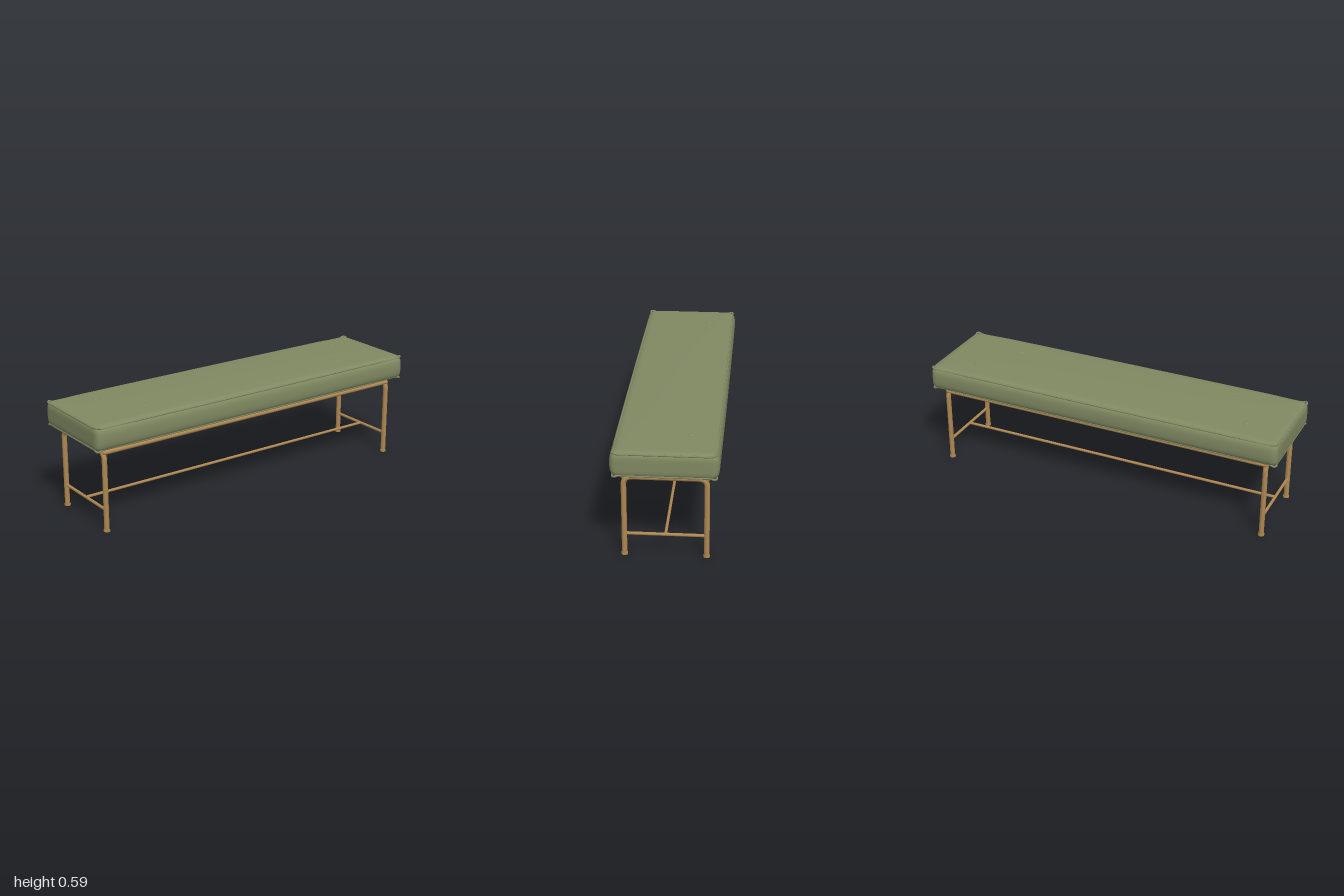
import * as THREE from 'three';
import { mergeVertices } from 'three/addons/utils/BufferGeometryUtils.js';

const CY = 0.511;                        // cushion mid height
const HX = 0.995, HY = 0.066, HZ = 0.252; // cushion half sizes before bulging
const LEG_X = 0.925, LEG_Z = 0.2, RAIL_Y = 0.421, LOW_Y = 0.115;

// Upholstered box: rounded edges, crowned top and bottom, softly bulging sides
function cushionGeometry() {
  const g = new THREE.BoxGeometry(2, 2, 2, 56, 14, 32);
  g.deleteAttribute('uv');
  g.deleteAttribute('normal');
  const half = new THREE.Vector3(HX, HY, HZ), r = 0.033;
  const inner = half.clone().subScalar(r), outer = half.clone().negate();
  const p = new THREE.Vector3(), c = new THREE.Vector3();
  const pos = g.attributes.position;
  for (let i = 0; i < pos.count; i++) {
    p.fromBufferAttribute(pos, i);
    // crowd the rows towards the edges so the rounding is smooth
    p.set(...p.toArray().map((v) => Math.sin(v * Math.PI / 2))).multiply(half);
    p.clamp(outer, half);
    c.copy(p).clamp(inner.clone().negate(), inner);
    p.sub(c).setLength(r).add(c);
    const x = p.x / HX, y = p.y / HY, z = p.z / HZ;
    p.y += 0.0105 * y * (1 - x * x) * (1 - z * z) + 0.001 * y;
    p.z += 0.009 * z * (1 - y * y) + 0.002 * z * (1 - x * x);
    pos.setXYZ(i, p.x, p.y, p.z);
  }
  const merged = mergeVertices(g, 1e-5);
  merged.computeVertexNormals();
  return merged;
}

// Closed welt following the rounded edge, lifted slightly at the corners
function pipingGeometry(sign) {
  const hx = HX - 0.008, hz = HZ - 0.007, r = 0.022, pts = [];
  const corners = [[1, 1, 0], [-1, 1, 1], [-1, -1, 2], [1, -1, 3]];
  corners.forEach(([sx, sz, k], n) => {
    for (let i = 0; i <= 6; i++) {
      const a = (k + i / 6) * Math.PI / 2;
      const lift = 0.006 * Math.sin(i / 6 * Math.PI);
      pts.push(new THREE.Vector3(
        sx * (hx - r) + (r + lift) * Math.cos(a), sign * (HY - 0.01 + lift),
        sz * (hz - r) + (r + lift) * Math.sin(a)));
    }
    const next = corners[(n + 1) % 4];
    for (let i = 1; i < 10; i++) {
      const t = i / 10, along = 2 * t - 1;
      const longSide = sz === next[1];
      const dir = longSide ? next[0] : next[1];
      pts.push(longSide
        ? new THREE.Vector3(dir * along * (hx - r), sign * (HY - 0.01), sz * (hz + 0.003 * (1 - along * along)))
        : new THREE.Vector3(sx * hx, sign * (HY - 0.01), dir * along * (hz - r)));
    }
  });
  return new THREE.TubeGeometry(new THREE.CatmullRomCurve3(pts, true, 'centripetal'), 400, 0.0055, 8, true);
}

// Bent tube: leg, top bar, leg
function hoopGeometry() {
  const v = (y, z) => new THREE.Vector3(0, y, z), b = 0.042;
  const path = new THREE.CurvePath();
  path.add(new THREE.LineCurve3(v(0.002, LEG_Z), v(RAIL_Y - b, LEG_Z)));
  path.add(new THREE.QuadraticBezierCurve3(v(RAIL_Y - b, LEG_Z), v(RAIL_Y, LEG_Z), v(RAIL_Y, LEG_Z - b)));
  path.add(new THREE.LineCurve3(v(RAIL_Y, LEG_Z - b), v(RAIL_Y, b - LEG_Z)));
  path.add(new THREE.QuadraticBezierCurve3(v(RAIL_Y, b - LEG_Z), v(RAIL_Y, -LEG_Z), v(RAIL_Y - b, -LEG_Z)));
  path.add(new THREE.LineCurve3(v(RAIL_Y - b, -LEG_Z), v(0.002, -LEG_Z)));
  return new THREE.TubeGeometry(path, 160, 0.0135, 16, false);
}

export function createModel() {
  const model = new THREE.Group();
  model.name = 'bench';
  const fabric = new THREE.MeshStandardMaterial({ color: 0x808962 });
  fabric.name = 'olive fabric';
  const brass = new THREE.MeshStandardMaterial({ color: 0xae8751 });
  brass.name = 'brass';

  const add = (parent, name, geometry, material, x = 0, y = 0, z = 0) => {
    const mesh = new THREE.Mesh(geometry, material);
    mesh.name = name;
    mesh.position.set(x, y, z);
    parent.add(mesh);
    return mesh;
  };

  // Seat
  const seat = new THREE.Group();
  seat.name = 'seat';
  model.add(seat);
  add(seat, 'cushion', cushionGeometry(), fabric, 0, CY, 0);
  add(seat, 'topPiping', pipingGeometry(1), fabric, 0, CY, 0);
  add(seat, 'bottomPiping', pipingGeometry(-1), fabric, 0, CY, 0);

  // Two staggered rows of buttons
  const buttonGeo = new THREE.SphereGeometry(0.016, 20, 12).scale(1, 0.34, 1);
  const rows = [[-0.115, [-0.78, -0.47, -0.157, 0.157, 0.47, 0.78]], [0.11, [-0.625, -0.312, 0, 0.312, 0.625]]];
  for (const [z, xs] of rows) {
    for (const x of xs) add(seat, 'button', buttonGeo, fabric, x, 0.581, z);
  }

  // Frame
  const frame = new THREE.Group();
  frame.name = 'frame';
  model.add(frame);
  const hoop = hoopGeometry();
  const footGeo = new THREE.CylinderGeometry(0.0165, 0.0165, 0.008, 20);
  const railGeo = new THREE.CylinderGeometry(0.0115, 0.0115, LEG_X * 2, 16).rotateZ(Math.PI / 2);
  const ballGeo = new THREE.SphereGeometry(0.0115, 16, 10);
  const endBarGeo = new THREE.CylinderGeometry(0.008, 0.008, LEG_Z * 2, 14).rotateX(Math.PI / 2);
  for (const sx of [-1, 1]) {
    add(frame, 'legHoop', hoop, brass, sx * LEG_X);
    add(frame, 'endStretcher', endBarGeo, brass, sx * LEG_X, LOW_Y, 0);
    for (const sz of [-1, 1]) {
      add(frame, 'foot', footGeo, brass, sx * LEG_X, 0.004, sz * LEG_Z);
      add(frame, 'railEnd', ballGeo, brass, sx * LEG_X, RAIL_Y, sz * (LEG_Z + 0.001));
    }
  }
  for (const sz of [-1, 1]) add(frame, 'seatRail', railGeo, brass, 0, RAIL_Y, sz * (LEG_Z + 0.001));
  const longGeo = new THREE.CylinderGeometry(0.0075, 0.0075, LEG_X * 2, 14).rotateZ(Math.PI / 2);
  add(frame, 'longStretcher', longGeo, brass, 0, LOW_Y, 0);
  return model;
}
